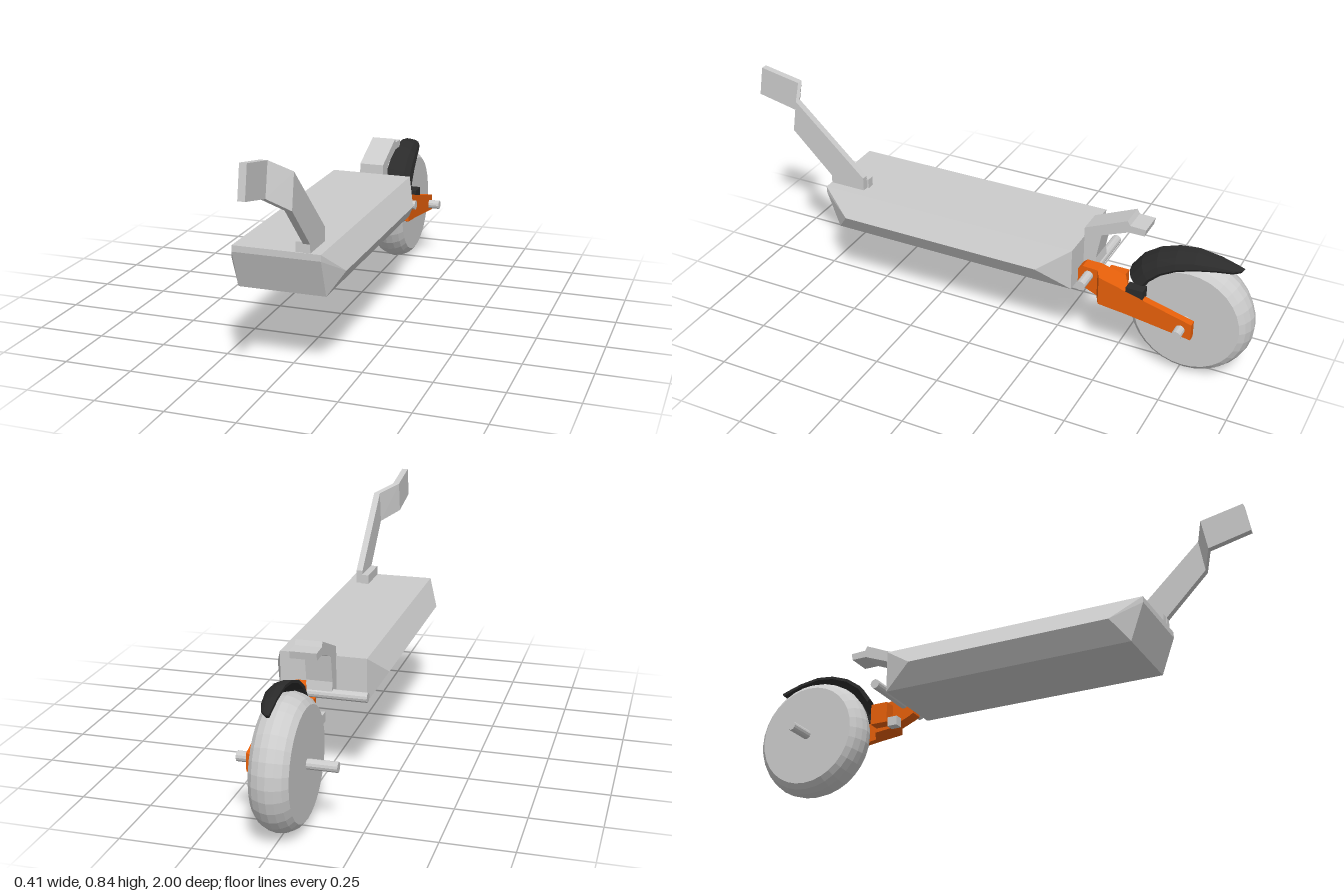
import * as THREE from 'three';
import { ConvexGeometry } from 'three/addons/geometries/ConvexGeometry.js';

const material = (color) => new THREE.MeshStandardMaterial({ color, flatShading: true, side: THREE.DoubleSide });

// Closed solid through equal-sized rings of [x, y, z] points, always facing outwards.
function loft(rings) {
  const tris = [];
  const quad = (a, b, c, d) => tris.push([a, b, c], [a, c, d]);
  const n = rings[0].length, last = rings[rings.length - 1];
  for (let r = 0; r < rings.length - 1; r++) {
    for (let i = 0; i < n; i++) {
      const j = (i + 1) % n;
      quad(rings[r][i], rings[r][j], rings[r + 1][j], rings[r + 1][i]);
    }
  }
  // End caps, built as strips so crescent sections stay clean
  for (let i = 0; i < n / 2 - 1; i++) {
    const k = n - 1 - i;
    quad(rings[0][i], rings[0][k], rings[0][k - 1], rings[0][i + 1]);
    quad(last[i], last[i + 1], last[k - 1], last[k]);
  }
  let volume = 0;
  for (const t of tris) {
    const [a, b, c] = t.map((p) => new THREE.Vector3(...p));
    volume += a.dot(b.cross(c));
  }
  if (volume < 0) tris.forEach((t) => t.reverse());
  const geometry = new THREE.BufferGeometry();
  geometry.setAttribute('position', new THREE.Float32BufferAttribute(tris.flat(2), 3));
  geometry.computeVertexNormals();
  return geometry;
}

export function createModel() {
  const model = new THREE.Group();
  const grey = material(0xcccccc), orange = material(0xe8600a), black = material(0x2b2b2b);

  const add = (name, geometry, mat = grey) => {
    const mesh = new THREE.Mesh(geometry, mat);
    mesh.name = name;
    model.add(mesh);
    return mesh;
  };
  const box = (name, [x0, x1], [y0, y1], [z0, z1], mat) =>
    add(name, new THREE.BoxGeometry(x1 - x0, y1 - y0, z1 - z0), mat)
      .position.set((x0 + x1) / 2, (y0 + y1) / 2, (z0 + z1) / 2);
  const rod = (name, y, z) => {
    const mesh = add(name, new THREE.CylinderGeometry(0.018, 0.018, 0.344, 12));
    mesh.rotation.z = Math.PI / 2;
    mesh.position.set(0, y, z);
  };

  // Deck: faceted slab with a ridge along each side
  const deck = [];
  for (const s of [-1, 1]) {
    for (const [x, y, z] of [
      [0.157, 0.459, 0.65], [0.157, 0.436, 0.65], [0.157, 0.298, 0.6],
      [0.157, 0.459, -0.365], [0.157, 0.298, -0.365],
      [0.207, 0.375, 0.54], [0.207, 0.375, -0.245],
    ]) deck.push(new THREE.Vector3(s * x, y, z));
  }
  add('deck', new ConvexGeometry(deck));

  // Front arm: flat bar that jogs towards the middle
  const bar = (x, yTop, zTop, yLow, zLow) => [
    [x, yTop, zTop], [x + 0.025, yTop, zTop], [x + 0.025, yLow, zLow], [x, yLow, zLow],
  ];
  add('frontArmFoot', loft([
    bar(0.095, 0.455, 0.508, 0.455, 0.648),
    bar(0.095, 0.51, 0.508, 0.49, 0.648),
  ]));
  add('frontArm', loft([
    bar(0.095, 0.51, 0.508, 0.49, 0.648),
    bar(0.095, 0.77, 0.785, 0.647, 0.805),
    bar(0.022, 0.808, 0.82, 0.69, 0.842),
    bar(0.022, 0.838, 0.98, 0.724, 1.0),
  ]));
  box('frontArmBase', [0.068, 0.096], [0.455, 0.495], [0.5, 0.645]);

  // Rear bracket: hooked profile in the side plane, extruded across
  const profile = new THREE.Shape([
    [0.36, 0.33], [0.365, 0.495], [0.525, 0.565], [0.535, 0.548], [0.595, 0.546],
    [0.59, 0.52], [0.53, 0.52], [0.43, 0.48], [0.412, 0.38], [0.42, 0.33],
  ].map((p) => new THREE.Vector2(...p)));
  const bracket = add('rearBracket', new THREE.ExtrudeGeometry(profile, { depth: 0.094, bevelEnabled: false }));
  bracket.rotation.y = Math.PI / 2;
  bracket.position.x = -0.047;

  // Pivot and axle rods
  rod('pivotRod', 0.333, -0.406);
  rod('wheelAxle', 0.232, -0.77);
  box('pivotStop', [-0.017, 0.017], [0.226, 0.262], [-0.44, -0.4]);

  // Wheel: rounded tyre with flat sides
  const tyre = [
    [0, -0.067], [0.195, -0.067], [0.214, -0.05], [0.226, -0.025], [0.231, 0],
    [0.226, 0.025], [0.214, 0.05], [0.195, 0.067], [0, 0.067],
  ].map((p) => new THREE.Vector2(...p));
  const wheel = add('wheel', new THREE.LatheGeometry(tyre, 32));
  wheel.rotation.z = Math.PI / 2;
  wheel.position.set(0, 0.231, -0.77);

  // Swing arm: one-sided fork that widens and then thins to a plate
  add('swingArm', loft([
    [0.045, 0.095, 0.29, 0.35, -0.365], [0.045, 0.095, 0.28, 0.365, -0.382],
    [0.045, 0.095, 0.255, 0.362, -0.44], [0.045, 0.128, 0.245, 0.357, -0.458],
    [0.045, 0.128, 0.237, 0.338, -0.53], [0.1, 0.128, 0.234, 0.328, -0.56],
    [0.1, 0.128, 0.198, 0.262, -0.81],
  ].map(([x0, x1, y0, y1, z]) => [[x0, y0, z], [x1, y0, z], [x1, y1, z], [x0, y1, z]])), orange);
  box('swingArmCrossPiece', [0, 0.05], [0.254, 0.335], [-0.525, -0.455], orange);

  // Mudguard: half shell, [spine z, y, outer edge z, y, width] per section
  const sections = [
    [-0.535, 0.362, -0.6, 0.335, 0.095], [-0.58, 0.425, -0.625, 0.375, 0.094],
    [-0.64, 0.467, -0.665, 0.41, 0.09], [-0.71, 0.492, -0.72, 0.437, 0.083],
    [-0.78, 0.5, -0.785, 0.453, 0.072], [-0.86, 0.488, -0.86, 0.46, 0.055],
    [-0.92, 0.47, -0.915, 0.457, 0.035], [-0.945, 0.461, -0.94, 0.456, 0.012],
  ];
  add('mudguard', loft(sections.map(([z0, y0, z1, y1, w]) => {
    const outer = [0, 1, 2, 3, 4].map((i) => {
      const a = (i / 4) * Math.PI / 2, t = 1 - Math.cos(a);
      return [w * Math.sin(a), y0 + (y1 - y0) * t, z0 + (z1 - z0) * t];
    });
    const inner = outer.map(([x, y, z]) => [x * 0.9, y - 0.01, z + (z + 0.77) * -0.04]);
    return [...outer, ...inner.reverse()];
  })), black);
  box('mudguardMount', [0.085, 0.127], [0.305, 0.345], [-0.625, -0.56], black);

  return model;
}
